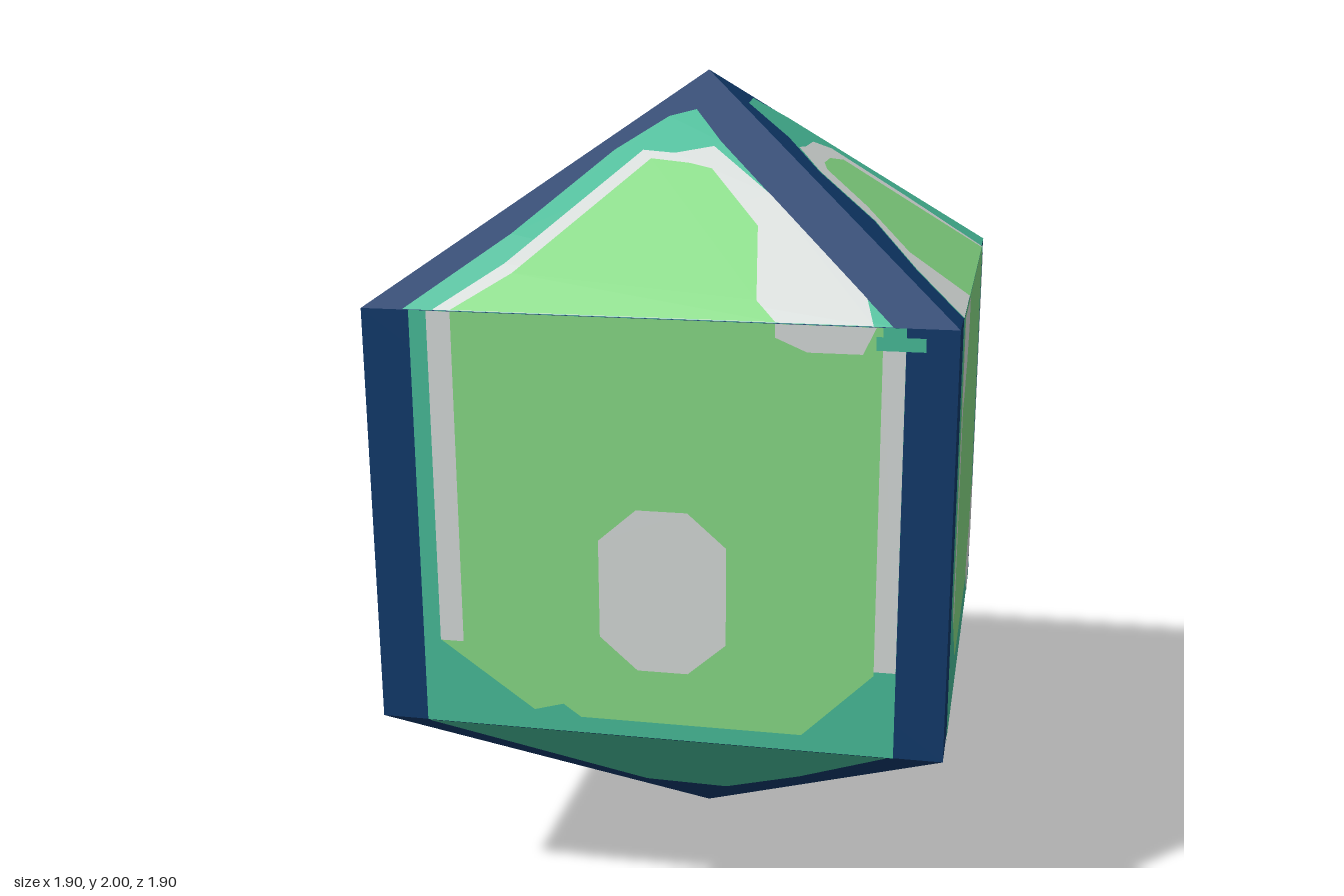
import * as THREE from 'three';

const R = 0.95; // corner radius of the four-sided body

const makeMaterial = (name, color) => {
  const m = new THREE.MeshStandardMaterial({ color });
  m.name = name;
  return m;
};

// A face of one quadrant: maps (p, q) to a 3D point, with its outward normal.
// Walls use (|x|, y); roofs and undersides use (|x|, |z|).
const surfaces = {
  Wall: { point: (p, q) => [p, q, R - p], normal: [1, 0, 1] },
  Roof: { point: (p, q) => [p, 2 - 0.5 * (p + q) / R, q], normal: [0.5 / R, 1, 0.5 / R] },
  Underside: { point: (p, q) => [p, 0.5 * (p + q) / R, q], normal: [0.5 / R, -1, 0.5 / R] },
};

// Thin flat patch lying on a face, lifted by its layer number
function patchGeometry(surface, sx, sz, layer, outline) {
  const { point, normal } = surfaces[surface];
  const n = new THREE.Vector3(normal[0] * sx, normal[1], normal[2] * sz).normalize();
  const pts = outline.map(([p, q]) => {
    const [x, y, z] = point(p, q);
    return new THREE.Vector3(x * sx, y, z * sz).addScaledVector(n, layer * 0.0015);
  });
  const flat = outline.map(([p, q]) => new THREE.Vector2(p, q));
  const corners = [];
  for (const [i, j, k] of THREE.ShapeUtils.triangulateShape(flat, [])) {
    const a = pts[i], b = pts[j], c = pts[k];
    const cross = b.clone().sub(a).cross(c.clone().sub(a));
    corners.push(...(cross.dot(n) > 0 ? [a, b, c] : [a, c, b]));
  }
  const g = new THREE.BufferGeometry().setFromPoints(corners);
  g.computeVertexNormals();
  return g;
}

const box = (p0, q0, p1, q1) => [[p0, q0], [p1, q0], [p1, q1], [p0, q1]];
const spot = (p, q, w, h) => [[p - w, q - h * 0.6], [p - w * 0.4, q - h], [p + w * 0.4, q - h],
  [p + w, q - h * 0.6], [p + w, q + h * 0.6], [p + w * 0.4, q + h], [p - w * 0.4, q + h], [p - w, q + h * 0.6]];

export function createModel() {
  const model = new THREE.Group();
  model.name = 'paintedCrystal';
  const mats = {
    navy: makeMaterial('navy', 0x103a6c),
    teal: makeMaterial('teal', 0x48be9a),
    green: makeMaterial('green', 0x88dd87),
    white: makeMaterial('white', 0xd8dddb),
  };

  // Navy body: square prism with a pyramid at each end
  const profile = [[0, 0], [R, 0.5], [R, 1.5], [0, 2]].map(([x, y]) => new THREE.Vector2(x, y));
  const bodyGeometry = new THREE.LatheGeometry(profile, 4).toNonIndexed();
  bodyGeometry.computeVertexNormals();
  const body = new THREE.Mesh(bodyGeometry, mats.navy);
  body.name = 'body';
  model.add(body);

  // Returns a painter for one quadrant of the body
  const quadrant = (name, sx, sz) => {
    const group = new THREE.Group();
    group.name = name;
    model.add(group);
    return (surface, color, layer, outline) => {
      const mesh = new THREE.Mesh(patchGeometry(surface, sx, sz, layer, outline), mats[color]);
      mesh.name = `${name}${surface}_${color}`;
      group.add(mesh);
    };
  };

  // Front right quadrant
  let paint = quadrant('frontRight', -1, 1);
  paint('Wall', 'teal', 1, box(0.08, 0.5, 0.87, 1.5));
  paint('Wall', 'green', 2, [[0.84, 1.5], [0.84, 0.71], [0.68, 0.55], [0.63, 0.57], [0.6, 0.54],
    [0.23, 0.54], [0.115, 0.7], [0.115, 1.5]]);
  paint('Wall', 'white', 3, box(0.8, 0.71, 0.84, 1.5));
  paint('Wall', 'white', 3, box(0.08, 0.71, 0.115, 1.45));
  paint('Wall', 'teal', 3, box(0.05, 1.45, 0.125, 1.48));
  paint('Wall', 'white', 3, [[0.28, 1.5], [0.28, 1.47], [0.23, 1.44], [0.145, 1.44], [0.125, 1.5]]);
  paint('Wall', 'white', 3, spot(0.46, 0.865, 0.105, 0.195));
  paint('Roof', 'teal', 1, [[0.88, 0.07], [0.6, 0.07], [0.3, 0.04], [0.15, 0.05], [0.09, 0.08],
    [0.1, 0.2], [0.1, 0.85]]);
  paint('Roof', 'white', 2, [[0.83, 0.12], [0.65, 0.13], [0.25, 0.09], [0.2, 0.15], [0.12, 0.2],
    [0.1, 0.4], [0.1, 0.76], [0.13, 0.82]]);
  paint('Roof', 'green', 3, [[0.8, 0.15], [0.65, 0.165], [0.25, 0.125], [0.19, 0.2], [0.16, 0.25],
    [0.17, 0.45], [0.28, 0.6], [0.28, 0.67]]);
  paint('Underside', 'teal', 1, [[0.87, 0.08], [0.24, 0.06], [0.08, 0.2], [0.065, 0.5], [0.09, 0.86]]);

  // Front left quadrant
  paint = quadrant('frontLeft', 1, 1);
  paint('Wall', 'teal', 1, box(0.078, 0.5, 0.9, 1.5));
  paint('Wall', 'green', 2, [[0.105, 1.5], [0.105, 0.8], [0.17, 0.72], [0.27, 0.6], [0.7, 0.6],
    [0.83, 0.75], [0.83, 1.5]]);
  paint('Wall', 'white', 3, box(0.105, 0.78, 0.14, 1.5));
  paint('Wall', 'white', 3, [[0.14, 1.28], [0.18, 1.3], [0.24, 1.36], [0.28, 1.43], [0.28, 1.5], [0.14, 1.5]]);
  paint('Wall', 'white', 3, box(0.83, 0.8, 0.86, 1.48));
  paint('Wall', 'white', 3, [[0.65, 0.63], [0.7, 0.57], [0.77, 0.52], [0.83, 0.6], [0.86, 0.67],
    [0.86, 0.84], [0.83, 0.82], [0.78, 0.81], [0.75, 0.73], [0.69, 0.69]]);
  paint('Roof', 'teal', 1, [[0.95, 0], [0.25, 0], [0.12, 0.02], [0.05, 0.1], [0.1, 0.2],
    [0.08, 0.35], [0.13, 0.5], [0.09, 0.7], [0.09, 0.86]]);
  paint('Roof', 'white', 2, [[0.84, 0.11], [0.6, 0.07], [0.35, 0.05], [0.25, 0.1], [0.15, 0.2],
    [0.1, 0.24], [0.08, 0.35], [0.13, 0.5], [0.09, 0.7], [0.09, 0.86]]);
  paint('Roof', 'green', 3, [[0.82, 0.13], [0.5, 0.11], [0.35, 0.1], [0.25, 0.17], [0.17, 0.25],
    [0.14, 0.3], [0.17, 0.42], [0.15, 0.6], [0.28, 0.67]]);
  paint('Underside', 'teal', 1, [[0.9, 0.05], [0.3, 0.065], [0.17, 0.08], [0.07, 0.18], [0.08, 0.3],
    [0.1, 0.66], [0.08, 0.87]]);

  // Back left quadrant
  paint = quadrant('backLeft', 1, -1);
  paint('Wall', 'teal', 1, box(0.055, 0.5, 0.88, 1.5));
  paint('Wall', 'green', 2, [[0.845, 1.5], [0.845, 0.78], [0.8, 0.7], [0.69, 0.59], [0.26, 0.6],
    [0.23, 0.62], [0.13, 0.68], [0.13, 1.5]]);
  paint('Wall', 'white', 3, box(0.815, 0.78, 0.845, 1.5));
  paint('Wall', 'white', 3, box(0.12, 0.7, 0.15, 1.48));
  paint('Wall', 'white', 3, spot(0.495, 1.0, 0.095, 0.245));
  paint('Roof', 'teal', 1, [[0.88, 0.07], [0.35, 0.05], [0.28, 0.01], [0.15, 0.08], [0.04, 0.2],
    [0.06, 0.35], [0.07, 0.6], [0.06, 0.8], [0.09, 0.86]]);
  paint('Roof', 'white', 2, [[0.83, 0.12], [0.4, 0.1], [0.3, 0.09], [0.17, 0.2], [0.1, 0.22],
    [0.12, 0.4], [0.1, 0.6], [0.13, 0.82]]);
  paint('Roof', 'green', 3, [[0.81, 0.14], [0.4, 0.13], [0.25, 0.14], [0.14, 0.25], [0.16, 0.4],
    [0.14, 0.6], [0.16, 0.79]]);
  paint('Underside', 'teal', 1, [[0.82, 0.13], [0.2, 0.095], [0.07, 0.2], [0.08, 0.5], [0.1, 0.85]]);
  paint('Underside', 'white', 2, [[0.25, 0.1], [0.29, 0.13], [0.3, 0.21], [0.24, 0.27], [0.2, 0.22],
    [0.23, 0.19], [0.2, 0.145]]);

  // Back right quadrant
  paint = quadrant('backRight', -1, -1);
  paint('Wall', 'teal', 1, box(0.067, 0.5, 0.865, 1.5));
  paint('Wall', 'green', 2, [[0.105, 1.5], [0.105, 0.58], [0.14, 0.52], [0.45, 0.52], [0.47, 0.54],
    [0.49, 0.52], [0.78, 0.52], [0.83, 0.58], [0.83, 1.5]]);
  paint('Wall', 'white', 3, box(0.105, 0.57, 0.14, 1.5));
  paint('Wall', 'white', 3, box(0.795, 0.57, 0.83, 1.5));
  paint('Roof', 'teal', 1, [[0.87, 0.08], [0.7, 0.09], [0.2, 0.07], [0.06, 0.2], [0.08, 0.3],
    [0.09, 0.6], [0.08, 0.87]]);
  paint('Roof', 'white', 2, [[0.82, 0.13], [0.7, 0.09], [0.5, 0.09], [0.2, 0.07], [0.09, 0.18],
    [0.1, 0.3], [0.13, 0.45], [0.11, 0.6], [0.14, 0.81]]);
  paint('Roof', 'green', 3, [[0.8, 0.15], [0.6, 0.12], [0.25, 0.155], [0.24, 0.33], [0.14, 0.45],
    [0.14, 0.65], [0.16, 0.79]]);
  paint('Underside', 'teal', 1, [[0.85, 0.1], [0.18, 0.11], [0.1, 0.17], [0.05, 0.28], [0.06, 0.5],
    [0.08, 0.87]]);
  paint('Underside', 'white', 2, [[0.11, 0.18], [0.05, 0.28], [0.05, 0.44], [0.08, 0.62], [0.15, 0.58],
    [0.24, 0.51], [0.2, 0.3]]);

  return model;
}
